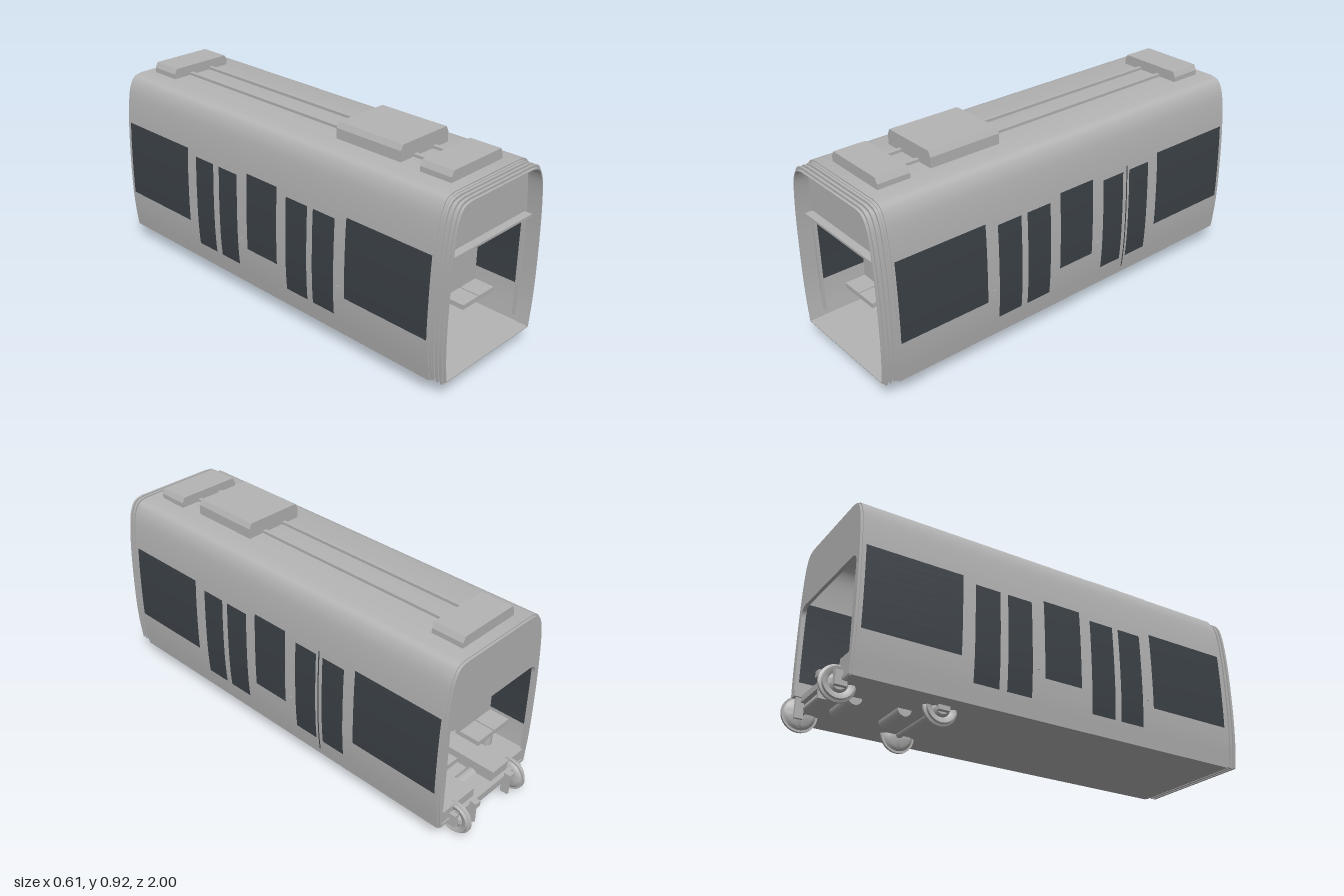
import * as THREE from 'three';
import { toCreasedNormals } from 'three/addons/utils/BufferGeometryUtils.js';

const grey = new THREE.MeshStandardMaterial({ color: 0xb4b4b4, side: THREE.DoubleSide });
grey.name = 'light grey';
const glass = new THREE.MeshStandardMaterial({ color: 0x3c4248, side: THREE.DoubleSide });
glass.name = 'dark glass';

// Right half of the body cross-section, bottom to roof
const half = new THREE.SplineCurve([
  [0.285, 0.075], [0.297, 0.19], [0.302, 0.32], [0.3, 0.5], [0.293, 0.64],
  [0.28, 0.75], [0.264, 0.805], [0.24, 0.836], [0.2, 0.846],
].map(p => new THREE.Vector2(...p))).getPoints(48);

// Half width of the body at a height
function sideX(y) {
  for (let i = 1; i < half.length; i++) {
    const a = half[i - 1], b = half[i];
    if (y <= b.y) return a.x + (b.x - a.x) * (y - a.y) / (b.y - a.y);
  }
  return 0.2;
}

// Full cross-section outline, shrunk about its middle
function outline(sx = 1, sy = 1) {
  const right = half.map(p => new THREE.Vector2(p.x * sx, 0.46 + (p.y - 0.46) * sy));
  return [...right, ...right.map(p => new THREE.Vector2(-p.x, p.y)).reverse()];
}

export function createModel() {
  const model = new THREE.Group();

  function add(name, geometry, x = 0, y = 0, z = 0, material = grey) {
    const mesh = new THREE.Mesh(geometry, material);
    mesh.name = name;
    mesh.position.set(x, y, z);
    model.add(mesh);
    return mesh;
  }
  // Box given by its limits
  function box(name, x0, x1, y0, y1, z0, z1, material) {
    return add(name, new THREE.BoxGeometry(Math.abs(x1 - x0), y1 - y0, z1 - z0),
      (x0 + x1) / 2, (y0 + y1) / 2, (z0 + z1) / 2, material);
  }
  // Cylinder along an axis
  function rod(name, axis, r, length, x, y, z, sides = 10) {
    const g = new THREE.CylinderGeometry(r, r, length, sides);
    if (axis === 'x') g.rotateZ(Math.PI / 2);
    if (axis === 'z') g.rotateX(Math.PI / 2);
    return add(name, g, x, y, z);
  }
  // Hollow ring with the body section, from z0 to z1
  function ring(name, z0, z1, out, inn) {
    const shape = new THREE.Shape(outline(...out));
    shape.holes.push(new THREE.Path(outline(...inn)));
    const g = new THREE.ExtrudeGeometry(shape, { depth: z1 - z0, bevelEnabled: false });
    add(name, toCreasedNormals(g, 0.6), 0, 0, z0);
  }
  // End wall with a doorway whose top corners have radius r
  function endWall(name, z, w, r) {
    const shape = new THREE.Shape(outline(0.985, 0.985));
    const hole = new THREE.Path();
    hole.moveTo(-w, 0.092);
    hole.lineTo(w, 0.092);
    hole.lineTo(w, 0.59 - r);
    hole.quadraticCurveTo(w, 0.59, w - r, 0.59);
    hole.lineTo(-w + r, 0.59);
    hole.quadraticCurveTo(-w, 0.59, -w, 0.59 - r);
    hole.closePath();
    shape.holes.push(hole);
    add(name, new THREE.ExtrudeGeometry(shape, { depth: 0.015, bevelEnabled: false }), 0, 0, z);
  }
  // Thin panel that follows the curve of a side wall
  function sidePanel(name, s, z0, z1, y0, y1, off, material) {
    const g = new THREE.PlaneGeometry(z1 - z0, y1 - y0, 1, 12);
    g.rotateY(s * Math.PI / 2);
    g.translate(0, (y0 + y1) / 2, (z0 + z1) / 2);
    const p = g.attributes.position;
    for (let i = 0; i < p.count; i++) p.setX(i, s * (sideX(p.getY(i)) + off));
    g.computeVertexNormals();
    add(name, g, 0, 0, 0, material);
  }

  // Body shell, floor and end walls
  ring('bodyShell', -0.91, 0.93, [1, 1], [0.965, 0.97]);
  ring('rearRim', -0.92, -0.91, [0.985, 0.988], [0.965, 0.97]);
  ring('frontRim', 0.93, 0.94, [0.985, 0.988], [0.965, 0.97]);
  box('floor', -0.278, 0.278, 0.076, 0.092, -0.918, 0.938);
  endWall('rearWall', -0.92, 0.27, 0.045);
  endWall('frontWall', 0.915, 0.278, 0.004);
  box('frontLintel', -0.27, 0.27, 0.59, 0.6, 0.93, 0.965);

  // Folding bellows
  for (let i = 0; i < 6; i++) {
    const k = i % 2 ? 0.955 : 0.98;
    ring('bellowsFold', 0.94 + i * 0.01, 0.95 + i * 0.01, [k, k], [0.94, 0.945]);
  }

  // Windows and doors on both sides
  const panes = [
    [0.5, 0.92, 0.26, 0.62], [0.32, 0.44, 0.16, 0.595], [0.165, 0.288, 0.16, 0.595],
    [-0.075, 0.11, 0.26, 0.62], [-0.255, -0.137, 0.16, 0.595], [-0.41, -0.292, 0.16, 0.595],
    [-0.895, -0.468, 0.26, 0.62],
  ];
  for (const s of [-1, 1]) {
    for (const [z0, z1, y0, y1] of panes) {
      sidePanel('window', s, z0, z1, y0, y1, 0.002, glass);
      sidePanel('windowInside', s, z0, z1, y0, y1, -0.0135, glass);
    }
    for (const z of [0.303, -0.274]) {
      for (const d of [-0.155, 0, 0.155])
        sidePanel('doorSeam', s, z + d - 0.004, z + d + 0.004, 0.11, 0.62, 0.004, grey);
      sidePanel('doorSill', s, z - 0.155, z + 0.155, 0.1, 0.108, 0.005, grey);
    }
    for (const z of [0.465, -0.11])
      box('doorButton', s * 0.298, s * 0.306, 0.29, 0.305, z - 0.007, z + 0.007);
  }
  sidePanel('doorGap', 1, -0.277, -0.271, 0.11, 0.62, 0.005, glass);

  // Roof equipment with chamfered tops
  function roofUnit(name, x0, x1, z0, z1, top) {
    const c = 0.012, y = 0.838;
    const shape = new THREE.Shape([[x0, y], [x1, y], [x1, top - 2 * c], [x1 - c, top],
      [x0 + c, top], [x0, top - 2 * c]].map(p => new THREE.Vector2(...p)));
    add(name, new THREE.ExtrudeGeometry(shape, { depth: z1 - z0, bevelEnabled: false }), 0, 0, z0);
  }
  roofUnit('frontRoofUnit', -0.157, 0.155, 0.735, 0.88, 0.892);
  roofUnit('rearRoofUnit', -0.157, 0.155, -0.86, -0.715, 0.892);
  roofUnit('largeRoofUnit', -0.145, 0.14, 0.3, 0.632, 0.915);
  for (const x of [-0.06, 0.055]) box('roofConduit', x - 0.009, x + 0.009, 0.84, 0.858, -0.72, 0.74);

  // Back-to-back double seats, raised over the bogie
  for (const s of [-1, 1]) {
    for (const [z, lift] of [[0.69, 0], [-0.7, 0.05]]) {
      for (const dir of [-1, 1]) {
        for (const [a, b] of [[0.07, 0.171], [0.177, 0.278]]) {
          const zb = z + dir * 0.018, zc = z + dir * 0.125;
          box('seatBack', s * a, s * b, 0.18 + lift, 0.355 + lift, zb - 0.011, zb + 0.011);
          box('seatCushion', s * a, s * b, 0.18 + lift, 0.202 + lift, Math.min(zb, zc), Math.max(zb, zc));
        }
      }
      rod('seatPole', 'y', 0.0025, 0.23, s * 0.22, 0.47 + lift / 4, z, 8);
    }
    // Platforms and seat pedestals over the wheels
    box('bogiePlatform', s * 0.065, s * 0.278, 0.09, 0.145, -0.915, -0.43);
    for (const z of [-0.62, -0.78]) rod('seatPedestal', 'y', 0.022, 0.09, s * 0.2, 0.187, z, 16);
    // Door-side poles and long hand rails
    for (const z of [0.48, 0.13, -0.1, -0.43]) rod('doorPole', 'y', 0.0035, 0.495, s * 0.27, 0.34, z, 8);
    rod('handRail', 'z', 0.003, 1.5, s * 0.1, 0.487, 0, 8);
  }
  for (const z of [0.3, -0.27]) rod('centrePole', 'y', 0.003, 0.74, 0, 0.46, z, 8);

  // Hanging display
  box('displayCase', -0.074, 0.074, 0.518, 0.571, -0.012, 0.012);
  box('displayHanger', -0.01, 0.01, 0.57, 0.84, -0.006, 0.006);
  for (const s of [-1, 1]) box('displayScreen', -0.068, 0.068, 0.524, 0.565, s * 0.0145 - 0.002, s * 0.0145 + 0.002, glass);

  // Bogie: flanged wheels, axles, motors and frame
  const wheelProfile = [[0, -0.018], [0.05, -0.018], [0.06, -0.012], [0.066, -0.006], [0.075, -0.006],
    [0.075, 0.004], [0.066, 0.008], [0.064, 0.018], [0.05, 0.016], [0.04, 0.01], [0.03, 0.02], [0, 0.02]]
    .map(p => new THREE.Vector2(...p));
  for (const z of [-0.92, -0.49]) {
    rod('axle', 'x', 0.014, 0.4, 0, 0.075, z, 16);
    for (const s of [-1, 1]) {
      const g = toCreasedNormals(new THREE.LatheGeometry(wheelProfile, 32), 0.6);
      g.rotateZ(-s * Math.PI / 2);
      add('wheel', g, s * 0.181, 0.075, z);
      box('axleBox', s * 0.2, s * 0.22, 0.055, 0.115, z - 0.025, z + 0.025);
    }
  }
  for (const z of [-0.6, -0.81]) rod('motor', 'x', 0.03, 0.17, -0.015, 0.075, z, 20);
  for (const s of [-1, 1]) {
    box('frameBeam', s * 0.2, s * 0.218, 0.08, 0.11, -0.94, -0.47);
    box('trackBrake', s * 0.108, s * 0.12, 0.03, 0.12, -0.965, -0.93);
    box('brakeBracket', s * 0.1, s * 0.13, 0.115, 0.14, -0.975, -0.945);
  }
  box('frameEndBeam', -0.2, 0.2, 0.095, 0.122, -0.945, -0.925);

  return model;
}
